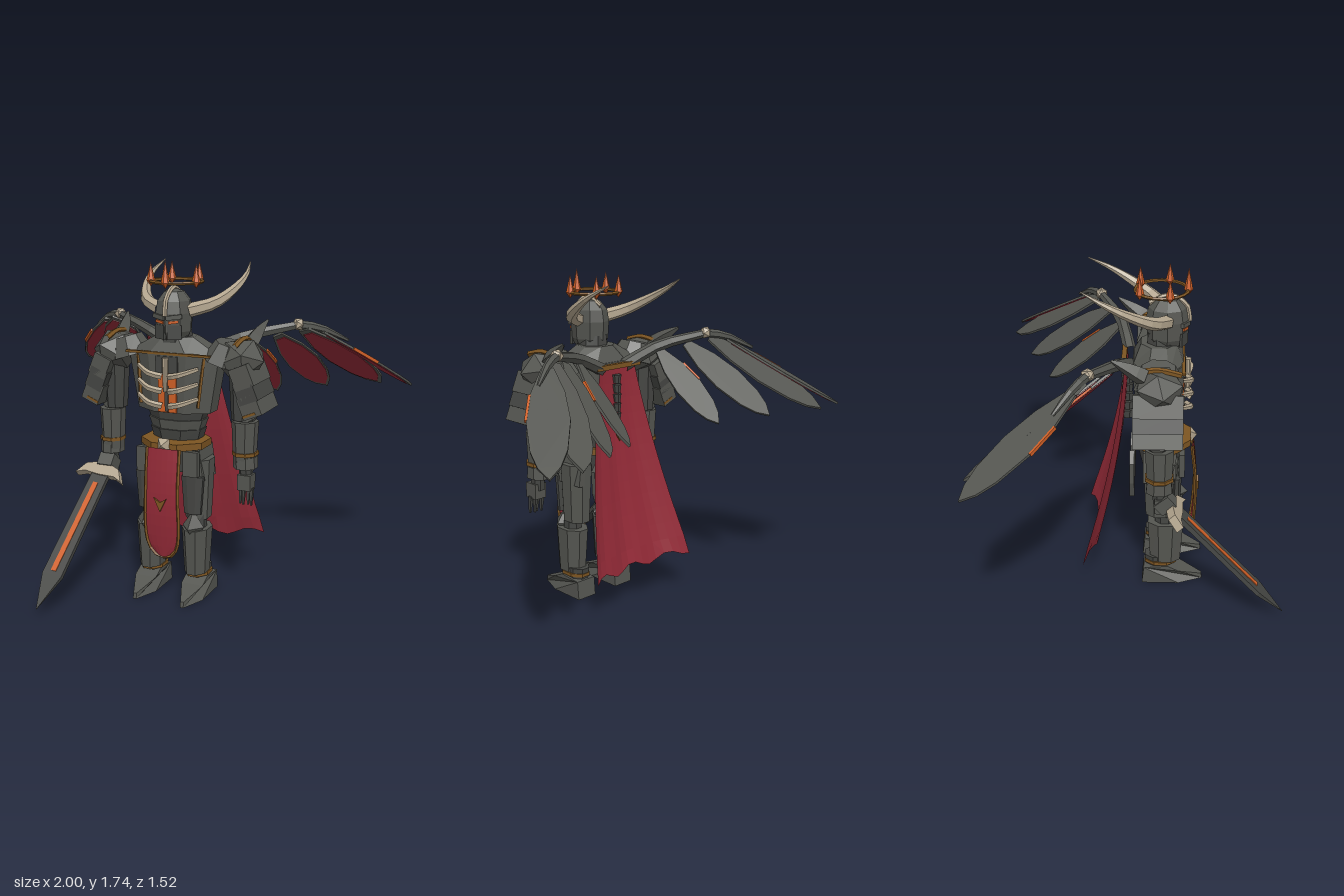
import * as THREE from 'three';

const paint = (name, color, side = THREE.FrontSide) => {
  const m = new THREE.MeshStandardMaterial({ color, side });
  m.name = name;
  return m;
};

export function createModel() {
  const steel = paint('steel', 0x555651), iron = paint('dark iron', 0x454643);
  const cloth = paint('red cloth', 0x932a37, THREE.DoubleSide);
  const gold = paint('old gold', 0x7d5522), bone = paint('bone', 0xb3a58e), ember = paint('ember', 0xcf5f26);

  const model = new THREE.Group();
  const body = new THREE.Group();
  body.name = 'body';
  body.position.x = -0.015;
  model.add(body);

  const V = (x, y, z) => new THREE.Vector3(x, y, z);
  // faceted mesh from any geometry
  function add(name, geo, mat, [x, y, z] = [0, 0, 0], [rx, ry, rz] = [0, 0, 0], parent = body) {
    const g = geo.index ? geo.toNonIndexed() : geo;
    g.computeVertexNormals();
    const m = new THREE.Mesh(g, mat);
    m.name = name;
    m.position.set(x, y, z);
    m.rotation.set(rx, ry, rz);
    parent.add(m);
    return m;
  }
  const box = (w, h, d) => new THREE.BoxGeometry(w, h, d);
  // move every vertex by a rule
  function bend(g, rule) {
    const p = g.attributes.position;
    for (let i = 0; i < p.count; i++) p.setXYZ(i, ...rule(p.getX(i), p.getY(i), p.getZ(i)));
    return g;
  }
  // block with chamfered corners: [width, depth] at the bottom and the top
  function block([w0, d0], [w1, d1], h, sides = 8) {
    const k = 0.5 / Math.cos(Math.PI / sides);
    return bend(new THREE.CylinderGeometry(1, 1, h, sides, 1, false, Math.PI / sides),
      (x, y, z) => [x * k * (y > 0 ? w1 : w0), y, z * k * (y > 0 ? d1 : d0)]);
  }
  // tapered tube along a smooth path
  function horn(points, r0, r1, segs = 8, sides = 6) {
    const curve = new THREE.CatmullRomCurve3(points.map(p => V(...p)));
    const g = new THREE.TubeGeometry(curve, segs, 1, sides);
    const p = g.attributes.position, v = V(0, 0, 0);
    for (let i = 0; i < p.count; i++) {
      const t = Math.floor(i / (sides + 1)) / segs, c = curve.getPointAt(t);
      v.fromBufferAttribute(p, i).sub(c).multiplyScalar(r0 + (r1 - r0) * t ** 1.5).add(c);
      p.setXYZ(i, v.x, v.y, v.z);
    }
    return g;
  }
  function plate(points, depth) {
    const g = new THREE.ExtrudeGeometry(new THREE.Shape(points.map(p => new THREE.Vector2(...p))), { depth, bevelEnabled: false });
    return g.translate(0, 0, -depth / 2);
  }

  // torso
  add('pelvis', block([0.22, 0.18], [0.3, 0.24], 0.14), iron, [0, 0.74, 0.11]);
  add('belt', block([0.34, 0.3], [0.34, 0.3], 0.035), gold, [0, 0.815, 0.12]);
  add('buckle', new THREE.ConeGeometry(0.045, 0.035, 4).rotateY(Math.PI / 4), bone, [0, 0.828, 0.287], [Math.PI / 2, 0, 0]);
  [0.86, 0.91, 0.96].forEach((y, i) =>
    add('abdomenPlate', block([0.25 + i * 0.015, 0.19], [0.28 + i * 0.02, 0.21], 0.053), i % 2 ? steel : iron, [0, y, 0.09]));
  add('chest', block([0.4, 0.23], [0.5, 0.26], 0.3), steel, [0, 1.13, 0.1]);
  add('shoulderYoke', block([0.48, 0.25], [0.2, 0.18], 0.08), steel, [0, 1.32, 0.1]);
  add('collarTrim', box(0.46, 0.012, 0.018), gold, [0, 1.282, 0.222]);
  add('emberCore', box(0.1, 0.2, 0.015), ember, [0, 1.085, 0.222]);
  add('corePlate', box(0.12, 0.085, 0.02), iron, [0, 1.228, 0.226]);
  add('coreSpine', box(0.018, 0.13, 0.02), iron, [0, 1.055, 0.226]);
  add('sternum', block([0.02, 0.025], [0.03, 0.03], 0.17), bone, [0, 1.18, 0.248]);
  for (let i = 0; i < 6; i++)
    add('spineBone', block([0.03, 0.05], [0.045, 0.06], 0.045), iron, [0, 0.95 + i * 0.05, -0.06]);
  add('capeBar', box(0.3, 0.025, 0.025), gold, [0, 1.27, -0.075]);

  // head
  add('neck', block([0.17, 0.17], [0.14, 0.15], 0.12), iron, [0, 1.35, 0.12]);
  const dome = [[0.07, 1.35], [0.09, 1.39], [0.095, 1.48], [0.085, 1.54], [0.05, 1.585], [0.001, 1.6]];
  add('helmet', new THREE.LatheGeometry(dome.map(p => new THREE.Vector2(...p)), 8).scale(1, 1, 1.12), steel, [0, 0, 0.14]);
  add('crest', horn([[0, 1.47, 0.25], [0, 1.55, 0.235], [0, 1.603, 0.15], [0, 1.56, 0.05]], 0.013, 0.012), bone);
  for (const s of [-1, 1]) {
    add('eye', box(0.052, 0.013, 0.009), ember, [s * 0.037, 1.44, 0.23], [0, s * 0.43, s * 0.1]);
    add('brow', box(0.08, 0.022, 0.016), steel, [s * 0.04, 1.465, 0.23], [0, s * 0.43, s * 0.12]);
    add('cheekGuard', box(0.07, 0.07, 0.014), iron, [s * 0.038, 1.39, 0.222], [0, s * 0.45, 0]);
    add('horn', horn([[s * 0.075, 1.49, 0.14], [s * 0.185, 1.525, 0.07], [s * 0.248, 1.59, -0.05],
      [s * 0.265, 1.65, -0.16], [s * 0.245, 1.705, -0.265]], 0.036, 0.003, 10), bone);
  }

  // floating crown
  add('crownRing', new THREE.TorusGeometry(0.13, 0.009, 5, 20), gold, [0, 1.63, 0.11], [Math.PI / 2, 0, 0]);
  for (let i = 0; i < 5; i++) {
    const a = i * Math.PI * 0.4, h = i ? 0.09 : 0.11;
    const x = Math.sin(a) * 0.13, z = 0.11 + Math.cos(a) * 0.13;
    add('crownSpike', new THREE.ConeGeometry(0.022, h, 6), ember, [x, 1.632 + h / 2, z]);
    add('crownSpikeBase', new THREE.ConeGeometry(0.022, 0.03, 6), ember, [x, 1.617, z], [Math.PI, 0, 0]);
  }

  // limbs and side armour
  const footShape = [[-0.02, 0], [-0.22, 0], [-0.35, 0], [-0.345, 0.03], [-0.22, 0.08], [-0.16, 0.11], [-0.03, 0.1]];
  for (const s of [-1, 1]) {
    const x = s * 0.13;
    add('foot', bend(plate(footShape, 0.12), (a, b, c) => [a, b, a < -0.3 ? c * 0.15 : c]), steel, [s * 0.135, 0, 0], [0, Math.PI / 2, 0]);
    add('ankle', block([0.1, 0.13], [0.11, 0.15], 0.08), iron, [x, 0.12, 0.11]);
    add('ankleTrim', block([0.125, 0.17], [0.125, 0.17], 0.018), gold, [x, 0.123, 0.12]);
    add('greave', block([0.115, 0.16], [0.14, 0.19], 0.245), steel, [x, 0.253, 0.145]);
    add('kneeJoint', block([0.09, 0.1], [0.09, 0.1], 0.12), iron, [x, 0.4, 0.14]);
    add('kneeGuard', new THREE.OctahedronGeometry(0.08).scale(0.75, 1.05, 0.9), steel, [x, 0.39, 0.195]);
    add('thigh', block([0.12, 0.15], [0.15, 0.18], 0.32), steel, [x * 0.96, 0.58, 0.115]);
    add('thighPlate', block([0.09, 0.04], [0.12, 0.05], 0.2), iron, [x, 0.56, 0.2]);
    add('hipPlate', box(0.035, 0.17, 0.17), steel, [s * 0.155, 0.715, 0.11], [0, 0, s * 0.12]);
    add('hipPlateFront', box(0.08, 0.13, 0.03), steel, [s * 0.13, 0.73, 0.225]);
    add('rearPlate', plate([[0, 0.78], [0.04, 0.72], [0.035, 0.6], [0, 0.5], [-0.035, 0.6], [-0.04, 0.72]], 0.025), steel, [s * 0.1, 0, -0.035]);

    // chest ribs and trim
    for (let i = 0; i < 3; i++) {
      const y = 1.02 + i * 0.075;
      add('rib', horn([[s * 0.02, y, 0.245], [s * 0.08, y + 0.015, 0.265], [s * 0.165, y + 0.045, 0.215]], 0.017, 0.011, 5, 5), bone);
    }
    add('chestTrim', box(0.012, 0.25, 0.014), gold, [s * 0.17, 1.14, 0.195], [0, s * 0.7, -s * 0.12]);

    // shoulder guard
    add('pauldron', new THREE.IcosahedronGeometry(0.13, 0).scale(1, 0.82, 1), steel, [s * 0.345, 1.265, 0.105], [0.2, s * 0.4, 0]);
    add('pauldronInner', block([0.2, 0.24], [0.13, 0.16], 0.1), steel, [s * 0.27, 1.29, 0.1], [0, 0, -s * 0.3]);
    add('pauldronTrim', horn([[s * 0.35, 1.335, 0.21], [s * 0.35, 1.36, 0.1], [s * 0.35, 1.345, -0.02]], 0.015, 0.015, 6, 5), gold);
    add('pauldronSpike', horn([[s * 0.365, 1.33, 0.03], [s * 0.38, 1.385, -0.05], [s * 0.4, 1.43, -0.12]], 0.045, 0.006, 4, 4), steel);
    for (let i = 0; i < 3; i++) {
      const px = s * (0.39 + i * 0.022), py = 1.19 - i * 0.07;
      add('shoulderPlate', box(0.1, 0.11, 0.24), i % 2 ? iron : steel, [px, py, 0.1], [0, 0, s * 0.4]);
    }
    add('shoulderPlateTrim', box(0.07, 0.012, 0.244), gold, [s * 0.435, 1.01, 0.1], [0, 0, s * 0.4]);

    // arm
    add('upperArm', block([0.1, 0.12], [0.13, 0.14], 0.26), iron, [s * 0.355, 1.09, 0.1]);
    add('elbow', new THREE.IcosahedronGeometry(0.06, 0), steel, [s * 0.372, 0.97, 0.1]);
    add('forearm', block([0.105, 0.12], [0.125, 0.14], 0.22), steel, [s * 0.375, 0.845, 0.11]);
    add('bracerTrim', block([0.122, 0.14], [0.122, 0.14], 0.018), gold, [s * 0.378, 0.79, 0.11]);
    add('cuff', block([0.115, 0.13], [0.11, 0.12], 0.06), steel, [s * 0.38, 0.745, 0.11]);
    add('wrist', block([0.06, 0.07], [0.07, 0.08], 0.08), iron, [s * 0.385, 0.69, 0.115]);
    add('palm', box(0.07, 0.08, 0.075), steel, [s * 0.39, 0.645, 0.125]);
    if (s > 0) for (let i = 0; i < 4; i++) {
      add('finger', block([0.008, 0.012], [0.018, 0.022], 0.09, 4), iron, [0.36 + i * 0.021, 0.57, 0.12 + (i % 2) * 0.012], [-0.1, 0, 0]);
    }
    else add('fist', box(0.085, 0.07, 0.09), steel, [-0.39, 0.655, 0.14], [-0.7, 0, 0]);
  }

  // front tabard, bowed forward, with trim
  const half = [[0.09, 0.81], [0.09, 0.58], [0.092, 0.36], [0.075, 0.28], [0.035, 0.235]];
  const outline = [...half, ...half.slice().reverse().map(([x, y]) => [-x, y])];
  const bow = y => 0.272 + 0.03 * Math.sin((y - 0.18) / 0.66 * Math.PI);
  add('tabard', bend(new THREE.PlaneGeometry(2, 1, 6, 10), (u, v) => {
    const y = 0.522 + v * 0.575;
    const w = y > 0.36 ? 0.09 : 0.09 * Math.sqrt(Math.max(0.1, 1 - ((0.36 - y) / 0.13) ** 2));
    return [u * w, y, bow(y) + 0.008 * (1 - u * u)];
  }), cloth);
  add('tabardTrim', horn(outline.map(([x, y]) => [x, y, bow(y)]), 0.009, 0.009, 28, 4), gold);
  add('tabardEmblem', plate([[-0.034, 0.558], [0, 0.537], [0.034, 0.558], [0, 0.487]], 0.009), gold, [0, 0, 0.316]);

  // cape, flaring toward a ragged hem
  add('cape', bend(new THREE.PlaneGeometry(2, 1, 14, 12), (u, h) => {
    const v = 0.5 - h, hem = v > 0.99 ? 0.02 * Math.sin(u * 9 + 1) : 0;
    return [u * (0.12 + 0.22 * v), 1.27 - 1.05 * v + hem + 0.015 * v * u * u,
      -0.055 - 0.16 * v ** 1.7 - u * u * (0.015 + 0.06 * v) + 0.005 * v * Math.sin(u * 10)];
  }), cloth);
  add('capeEmblem', plate([[-0.03, 0.93], [0, 0.915], [0.03, 0.93], [0, 0.875]], 0.009), gold, [0, 0, -0.087]);

  // wings: feathers [base, tip, half width, facing], the outer one rolled outward and the inner ones inward
  const feathers = [
    [[0.62, 1.365, -0.28], [1.0, 1.03, -0.745], 0.095, [0.4, 0.8, -0.4]],
    [[0.54, 1.375, -0.23], [0.83, 1.03, -0.755], 0.1, [-0.05, 0.78, -0.62]],
    [[0.42, 1.35, -0.17], [0.56, 1.015, -0.63], 0.085, [-0.35, 0.76, -0.64]],
    [[0.28, 1.32, -0.11], [0.315, 0.99, -0.5], 0.075, [-0.4, 0.76, -0.64]]];
  const profile = [[0.3, 0], [0.8, 0.24], [1, 0.5], [0.82, 0.76], [0.5, 0.9]];
  const leaf = (w, L, k) => {
    const rim = profile.map(([x, y]) => [x * w * k, L * (0.5 + (y - 0.5) * k)]);
    return [...rim, [0, L * (0.5 + 0.5 * k)], ...rim.slice().reverse().map(([x, y]) => [-x, y])];
  };
  for (const s of [-1, 1]) {
    const wing = new THREE.Group();
    wing.name = s > 0 ? 'leftWing' : 'rightWing';
    model.add(wing);
    add('wingArm', horn([[s * 0.08, 1.26, -0.05], [s * 0.28, 1.345, -0.1], [s * 0.515, 1.4, -0.22]], 0.034, 0.022, 5, 6), steel, undefined, undefined, wing);
    add('wingForearm', horn([[s * 0.515, 1.4, -0.22], [s * 0.61, 1.385, -0.275], [s * 0.74, 1.315, -0.36]], 0.024, 0.008, 4, 6), steel, undefined, undefined, wing);
    add('wingKnuckle', new THREE.IcosahedronGeometry(0.034, 0), bone, [s * 0.515, 1.403, -0.22], undefined, wing);
    feathers.forEach(([b, t, w, face], i) => {
      const base = V(s * b[0], b[1], b[2]), d = V(s * t[0], t[1], t[2]).sub(base), L = d.length();
      d.normalize();
      const n = V(s * face[0], face[1], face[2]);
      n.addScaledVector(d, -n.dot(d)).normalize();
      const side = d.clone().cross(n), out = side.x * s > 0 ? 1 : -1;
      const f = new THREE.Group();
      f.name = 'feather';
      f.quaternion.setFromRotationMatrix(new THREE.Matrix4().makeBasis(side, d, n));
      f.position.copy(base);
      wing.add(f);
      add('featherPlate', plate(leaf(w, L, 1), 0.012), steel, undefined, undefined, f);
      add('featherLining', plate(leaf(w, L, 0.9), 0.004), cloth, [0, 0, -0.008], undefined, f);
      if (i === 0 || i === 3)
        add('featherEmber', box(0.011, L * 0.24, 0.016), ember, [out * w * 0.93, L * 0.37, 0], [0, 0, -out * 0.1], f);
    });
  }

  // sword, pointing down and forward from the right hand
  const sword = new THREE.Group();
  sword.name = 'sword';
  const up = V(0.09, 0.71, -0.7).normalize(), right = up.clone().cross(V(0, 0.7, 0.7)).normalize();
  sword.quaternion.setFromRotationMatrix(new THREE.Matrix4().makeBasis(right, up, right.clone().cross(up)));
  sword.position.set(-0.415, 0.62, 0.19);
  model.add(sword);
  add('blade', block([0.115, 0.022], [0.1, 0.026], 0.6, 4), iron, [0, -0.32, 0], undefined, sword);
  add('bladeTip', block([0.002, 0.002], [0.115, 0.022], 0.19, 4), iron, [0, -0.715, 0], undefined, sword);
  add('emberInlay', box(0.03, 0.52, 0.03), ember, [0, -0.34, 0], undefined, sword);
  add('guard', plate([[-0.14, -0.05], [-0.09, -0.03], [0, -0.035], [0.09, -0.03], [0.14, -0.05], [0.1, 0.015], [0.04, 0.035], [-0.04, 0.035], [-0.1, 0.015]], 0.045), bone, undefined, undefined, sword);
  add('grip', block([0.03, 0.03], [0.03, 0.03], 0.14), iron, [0, 0.08, 0], undefined, sword);
  return model;
}
